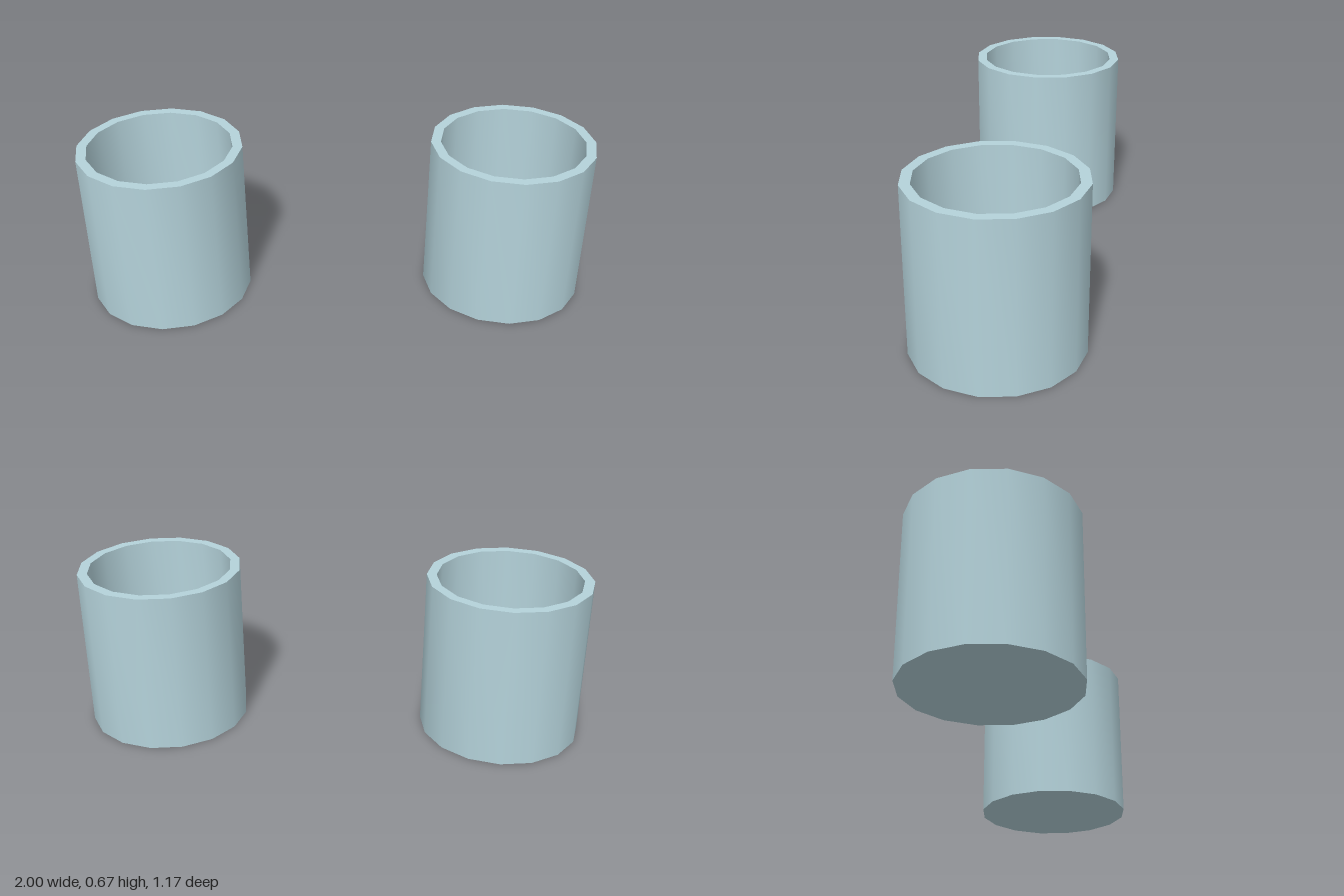
import * as THREE from 'three';
import { toCreasedNormals } from 'three/addons/utils/BufferGeometryUtils.js';

const OUTER = 0.333, INNER = 0.293, HEIGHT = 0.67, FLOOR = 0.04, SIDES = 16;

export function createModel() {
  const group = new THREE.Group();
  group.name = 'cups';
  const material = new THREE.MeshStandardMaterial({ color: 0xb4d2da });

  // Closed cup profile: underside, outer wall, rim, inner wall, inside floor
  const profile = [
    [0, 0], [OUTER, 0], [OUTER, HEIGHT], [INNER, HEIGHT], [INNER, FLOOR], [0, FLOOR],
  ].map(([r, y]) => new THREE.Vector2(r, y));
  const cupGeometry = toCreasedNormals(new THREE.LatheGeometry(profile, SIDES), 0.6);

  // Two cups placed diagonally
  for (const [name, side] of [['leftCup', 1], ['rightCup', -1]]) {
    const cup = new THREE.Mesh(cupGeometry, material);
    cup.name = name;
    cup.position.set(side * 0.667, 0, side * 0.25);
    group.add(cup);
  }
  return group;
}
